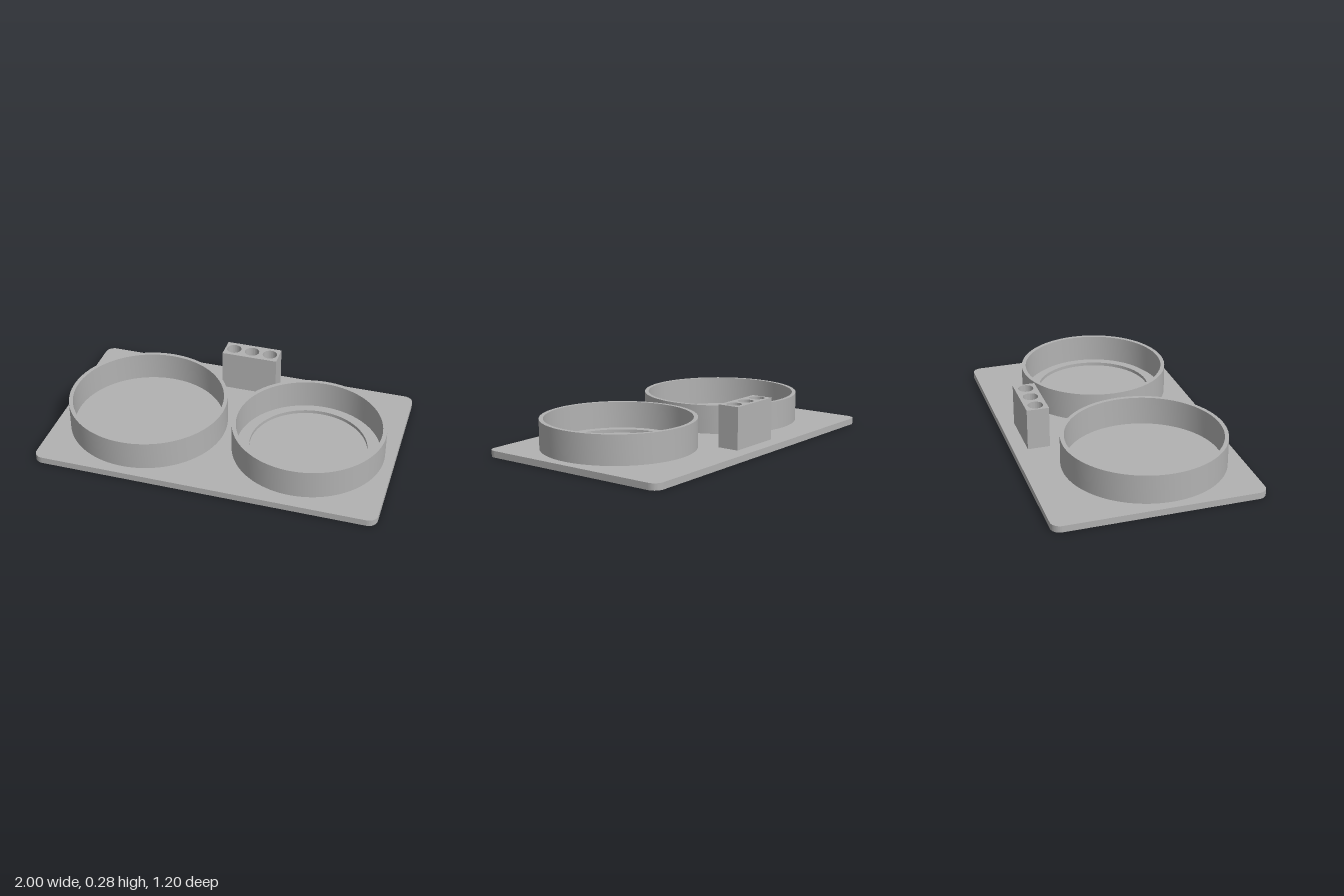
import * as THREE from 'three';
import { toCreasedNormals } from 'three/addons/utils/BufferGeometryUtils.js';

const PLATE_TOP = 0.038;

export function createModel() {
  const grey = new THREE.MeshStandardMaterial({ color: 0xb2b2b2 });
  grey.name = 'grey';
  const model = new THREE.Group();
  model.name = 'holderTray';

  const add = (name, geometry, x, y, z) => {
    const mesh = new THREE.Mesh(toCreasedNormals(geometry, 0.6), grey);
    mesh.name = name;
    mesh.position.set(x, y, z);
    model.add(mesh);
  };

  // Extrude a floor-plan shape upwards
  const raise = (shape, height) =>
    new THREE.ExtrudeGeometry(shape, { depth: height, bevelEnabled: false, curveSegments: 24 })
      .rotateX(-Math.PI / 2);

  // Upright ring with a rectangular cross-section
  const ring = (inner, outer, height) =>
    new THREE.LatheGeometry([
      new THREE.Vector2(outer, 0),
      new THREE.Vector2(outer, height),
      new THREE.Vector2(inner, height),
      new THREE.Vector2(inner, 0),
    ], 96);

  // Base plate with rounded corners
  const w = 1, d = 0.6, r = 0.055;
  const plate = new THREE.Shape();
  plate.absarc(w - r, d - r, r, 0, Math.PI / 2);
  plate.absarc(-w + r, d - r, r, Math.PI / 2, Math.PI);
  plate.absarc(-w + r, -d + r, r, Math.PI, Math.PI * 1.5);
  plate.absarc(w - r, -d + r, r, Math.PI * 1.5, Math.PI * 2);
  plate.closePath();
  add('basePlate', raise(plate, PLATE_TOP), 0, 0, 0);

  // Two round holders, the left one with a low ridge on its floor
  add('rightHolderWall', ring(0.445, 0.468, 0.17), -0.477, PLATE_TOP, 0.071);
  add('leftHolderWall', ring(0.42, 0.444, 0.17), 0.497, PLATE_TOP, 0.071);
  add('leftHolderRidge', ring(0.342, 0.392, 0.02), 0.497, PLATE_TOP, 0.071);

  // Block with three round sockets
  const block = new THREE.Shape();
  block.moveTo(-0.169, -0.065).lineTo(0.169, -0.065).lineTo(0.169, 0.065).lineTo(-0.169, 0.065);
  block.closePath();
  for (const x of [-0.113, 0, 0.113]) {
    block.holes.push(new THREE.Path().absarc(x, 0, 0.044, 0, Math.PI * 2, true));
  }
  add('socketBlock', raise(block, 0.245), 0.009, PLATE_TOP, -0.452);

  return model;
}
